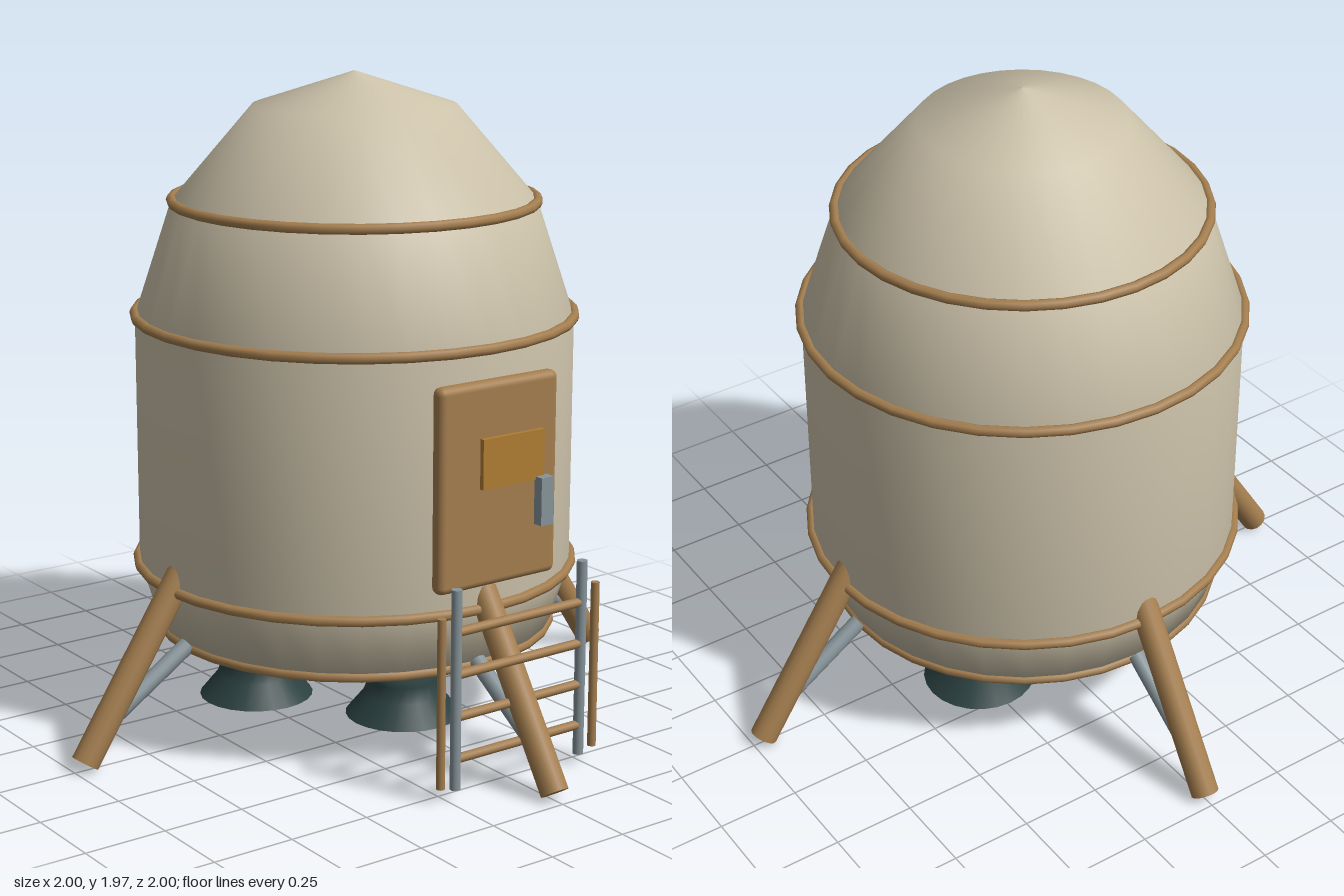
import * as THREE from 'three';
import { RoundedBoxGeometry } from 'three/addons/geometries/RoundedBoxGeometry.js';

function material(name, color, side = THREE.FrontSide) {
  const m = new THREE.MeshStandardMaterial({ color, side });
  m.name = name;
  return m;
}

export function createModel() {
  const model = new THREE.Group();
  model.name = 'landerCapsule';

  const hull = material('hullCream', 0xcbc1a9);
  const bronze = material('bronze', 0xa47e4f);
  const amber = material('amberPane', 0xb07d33);
  const steel = material('steel', 0x87949a);
  const dark = material('engineDark', 0x2b4040, THREE.DoubleSide);

  function add(parent, name, geometry, mat, x = 0, y = 0, z = 0) {
    const mesh = new THREE.Mesh(geometry, mat);
    mesh.name = name;
    mesh.position.set(x, y, z);
    parent.add(mesh);
    return mesh;
  }

  // Round bar between two points
  function bar(parent, name, from, to, radius, mat, sides = 14) {
    const a = new THREE.Vector3(...from);
    const b = new THREE.Vector3(...to);
    const dir = b.clone().sub(a);
    const mesh = add(parent, name, new THREE.CylinderGeometry(radius, radius, dir.length(), sides), mat);
    mesh.position.copy(a).add(b).multiplyScalar(0.5);
    mesh.quaternion.setFromUnitVectors(new THREE.Vector3(0, 1, 0), dir.normalize());
    return mesh;
  }

  const lathe = (points, segments) =>
    new THREE.LatheGeometry(points.map(([r, y]) => new THREE.Vector2(r, y)), segments);

  // Capsule hull
  add(model, 'hull', lathe([
    [0, 0.3], [0.6, 0.3], [0.66, 0.5], [0.66, 1.25], [0.545, 1.6], [0.305, 1.88], [0, 1.98],
  ], 32), hull);

  // Hoops around the hull
  for (const [r, y] of [[0.6, 0.31], [0.664, 0.5], [0.66, 1.26], [0.545, 1.6]]) {
    add(model, 'hoop', new THREE.TorusGeometry(r, 0.016, 8, 32), bronze, 0, y, 0).rotation.x = Math.PI / 2;
  }

  // Four landing legs with braces
  for (let i = 0; i < 4; i++) {
    const leg = new THREE.Group();
    leg.name = 'landingLeg';
    bar(leg, 'legPost', [0.62, 0.56, 0], [0.965, 0.033, 0], 0.042, bronze);
    bar(leg, 'legBrace', [0.61, 0.322, 0], [0.87, 0.152, 0], 0.026, steel);
    leg.rotation.y = i * Math.PI / 2;
    model.add(leg);
  }

  // Three engine bells
  const bell = lathe([[0, 0.2], [0.112, 0.2], [0.103, 0.165], [0.122, 0.12], [0.175, 0.055]], 24);
  for (const [x, z] of [[0, 0.252], [0.268, -0.15], [-0.268, -0.15]]) {
    add(model, 'engineBell', bell, dark, x, 0, z);
  }

  // Hatch with pane and handle
  const hatch = new THREE.Group();
  hatch.name = 'hatch';
  add(hatch, 'door', new RoundedBoxGeometry(0.425, 0.6, 0.05, 3, 0.022), bronze, 0, 0.88, 0.678);
  add(hatch, 'pane', new THREE.BoxGeometry(0.22, 0.145, 0.014), amber, 0, 0.963, 0.756);
  add(hatch, 'handle', new THREE.BoxGeometry(0.045, 0.14, 0.032), steel, 0.102, 0.83, 0.774);
  model.add(hatch);

  // Ladder with rails, outer handrails and rungs
  const ladder = new THREE.Group();
  ladder.name = 'ladder';
  for (const s of [-1, 1]) {
    bar(ladder, 'rail', [s * 0.228, 0.045, 0.8], [s * 0.228, 0.635, 0.8], 0.016, steel, 10);
    bar(ladder, 'handrail', [s * 0.28, 0.058, 0.8], [s * 0.28, 0.56, 0.8], 0.013, bronze, 10);
  }
  for (let i = 0; i < 4; i++) {
    const y = 0.135 + i * 0.125;
    bar(ladder, 'rung', [-0.228, y, 0.8], [0.228, y, 0.8], 0.014, bronze, 10);
  }
  model.add(ladder);

  return model;
}
